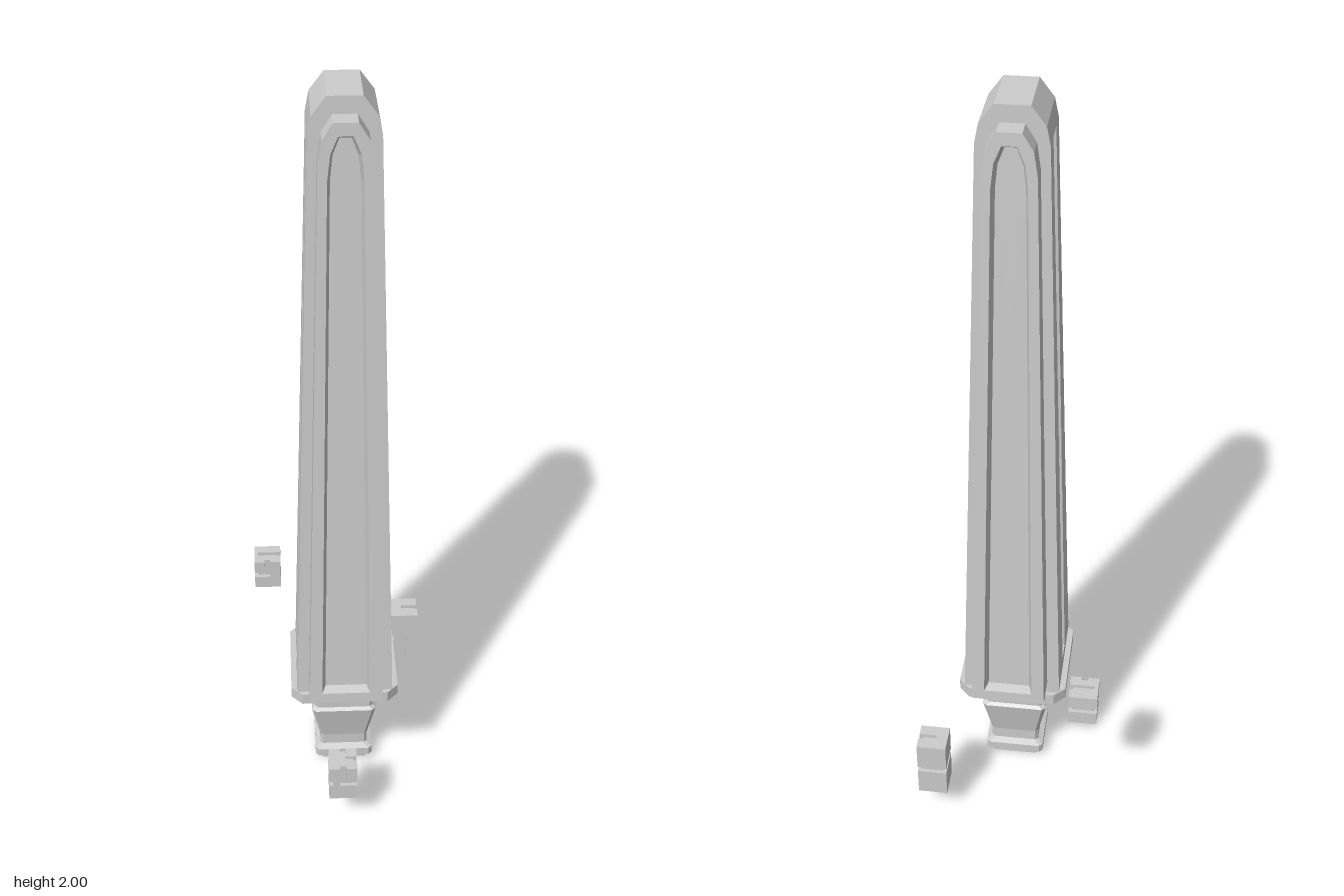
import * as THREE from 'three';

const material = new THREE.MeshStandardMaterial({ color: 0xcccccc, flatShading: true });

function meshFrom(positions, name) {
  const g = new THREE.BufferGeometry();
  g.setAttribute('position', new THREE.Float32BufferAttribute(positions, 3));
  g.computeVertexNormals();
  const m = new THREE.Mesh(g, material);
  m.name = name;
  return m;
}

// Joins rings of equal point count, counter-clockwise seen from the last ring, and caps both ends.
function loft(rings, name) {
  const out = [];
  const tri = (a, b, c) => out.push(...a, ...b, ...c);
  const n = rings[0].length;
  const middle = (r) => [0, 1, 2].map((k) => r.reduce((s, p) => s + p[k], 0) / n);
  const first = rings[0], last = rings[rings.length - 1];
  const c0 = middle(first), c1 = middle(last);
  for (let i = 0; i < n; i++) {
    const j = (i + 1) % n;
    for (let r = 0; r < rings.length - 1; r++) {
      const a = rings[r], b = rings[r + 1];
      tri(a[i], a[j], b[j]);
      tri(a[i], b[j], b[i]);
    }
    tri(first[j], first[i], c0);
    tri(last[i], last[j], c1);
  }
  return meshFrom(out, name);
}

// Square with cut corners at height y
function cutSquare(y, h, c) {
  const k = h - c;
  return [[k, h], [h, k], [h, -k], [k, -h], [-k, -h], [-h, -k], [-h, k], [-k, h]]
    .map(([x, z]) => [x, y, z]);
}

// Core cross-section with a slot of depth d in each side
function coreSection(y, hx, hz, d) {
  const half = [[hx, hz], [hx, 0.03], [hx - d, 0.026], [hx - d, -0.026], [hx, -0.03], [hx, -hz]];
  return [...half, ...half.map(([x, z]) => [-x, -z])].map(([x, z]) => [x, y, z]);
}

function buildCore() {
  const width = (y) => THREE.MathUtils.mapLinear(y, 0.325, 1.91, 0.131, 0.083);
  const depth = (y) => THREE.MathUtils.mapLinear(y, 0.325, 2, 0.134, 0.08);
  const levels = [[0.325, 0], [0.355, 0], [0.355, 0.024], [1.91, 0.024], [1.91, 0]];
  const rings = levels.map(([y, d]) => coreSection(y, width(y), depth(y), d));
  for (const [y, hx] of [[1.955, 0.074], [2, 0.04]]) rings.push(coreSection(y, hx, depth(y), 0));
  return loft(rings, 'taperedCore');
}

// Arched slab with a sunken panel on its sloping face
function buildSlab(name) {
  const face = (y) => THREE.MathUtils.mapLinear(y, 0.365, 1.96, 0.219, 0.133);
  const arch = (pts, zOf) => [...pts, ...pts.map(([x, y]) => [-x, y]).reverse()]
    .map(([x, y]) => [x, y, zOf(y)]);
  const outer = [[0.098, 0.365], [0.062, 1.86], [0.053, 1.92], [0.028, 1.96]];
  const opening = [[0.064, 0.395], [0.041, 1.83], [0.034, 1.89], [0.017, 1.93]];
  const floor = [[0.055, 0.402], [0.034, 1.825], [0.028, 1.88], [0.013, 1.918]];
  return loft([
    arch(outer, () => 0.05),
    arch(outer, face),
    arch(opening, face),
    arch(floor, (y) => face(y) - 0.025),
  ], name);
}

// Block on a 5 x 5 x 5 grid; cells listed as cuts are left out to form grooves
function carvedBlock(name, center, size, cuts) {
  const edges = size.map((s) => [-s / 2, -s / 2 + 0.01, -0.008, 0.008, s / 2 - 0.01, s / 2]);
  const solid = (c) => c.every((v) => v >= 0 && v < 5) &&
    !cuts.some((r) => c.every((v, a) => v >= r[2 * a] && v <= r[2 * a + 1]));
  const out = [];
  for (let n = 0; n < 125; n++) {
    const cell = [n % 5, Math.floor(n / 5) % 5, Math.floor(n / 25)];
    if (!solid(cell)) continue;
    for (let a = 0; a < 3; a++) for (const side of [0, 1]) {
      const next = [...cell];
      next[a] += side ? 1 : -1;
      if (solid(next)) continue;
      const b = (a + 1) % 3, c = (a + 2) % 3;
      const q = [[0, 0], [1, 0], [1, 1], [0, 1]].map(([u, v]) => {
        const p = [0, 0, 0];
        p[a] = edges[a][cell[a] + side];
        p[b] = edges[b][cell[b] + u];
        p[c] = edges[c][cell[c] + v];
        return p;
      });
      if (!side) q.reverse();
      out.push(...q[0], ...q[1], ...q[2], ...q[0], ...q[2], ...q[3]);
    }
  }
  const m = meshFrom(out, name);
  m.position.set(...center);
  return m;
}

export function createModel() {
  const model = new THREE.Group();
  model.name = 'obelisk';

  const tower = new THREE.Group();
  tower.name = 'tower';
  tower.position.set(0.004, 0, -0.01);
  model.add(tower);

  tower.add(buildCore());
  const front = buildSlab('frontSlab');
  const back = buildSlab('backSlab');
  back.rotation.y = Math.PI;
  tower.add(front, back);

  // Base plate, then the tapering foot below it
  tower.add(loft([cutSquare(0.293, 0.147, 0.03), cutSquare(0.326, 0.147, 0.03)], 'basePlate'));
  const foot = [
    [0.005, 0.066], [0.018, 0.066], [0.022, 0.081], [0.046, 0.081], [0.054, 0.062],
    [0.058, 0.067], [0.085, 0.067], [0.092, 0.067], [0.205, 0.09], [0.213, 0.082],
    [0.236, 0.082], [0.24, 0.09], [0.25, 0.097], [0.293, 0.104],
  ];
  foot[0][0] = 0;
  tower.add(loft(foot.map(([y, h]) => cutSquare(y, h, h * 0.12)), 'foot'));

  // Floating blocks; each cut is a range of cells in x, y and z
  const rearGrooves = [[0, 4, 2, 2, 0, 0], [0, 0, 2, 2, 0, 4]];
  model.add(
    carvedBlock('upperBlock', [-0.204, 0.446, -0.28], [0.075, 0.092, 0.075], [
      [1, 4, 4, 4, 2, 2], [4, 4, 2, 4, 2, 2], [4, 4, 2, 2, 0, 2],
      [2, 2, 2, 4, 4, 4], [0, 2, 2, 2, 4, 4], ...rearGrooves,
    ]),
    carvedBlock('tallBlock', [0.2, 0.177, -0.293], [0.079, 0.175, 0.079], [
      [2, 4, 4, 4, 2, 2], [4, 4, 2, 4, 2, 2], [4, 4, 2, 2, 0, 2],
      [2, 2, 0, 2, 4, 4], ...rearGrooves,
    ]),
    carvedBlock('frontBlock', [-0.009, 0.179, 0.292], [0.076, 0.112, 0.075], [
      [2, 2, 4, 4, 0, 2], [2, 4, 4, 4, 2, 2], [4, 4, 2, 4, 2, 2],
      [2, 2, 2, 4, 4, 4], [2, 4, 2, 2, 4, 4], ...rearGrooves,
    ]),
  );
  return model;
}
